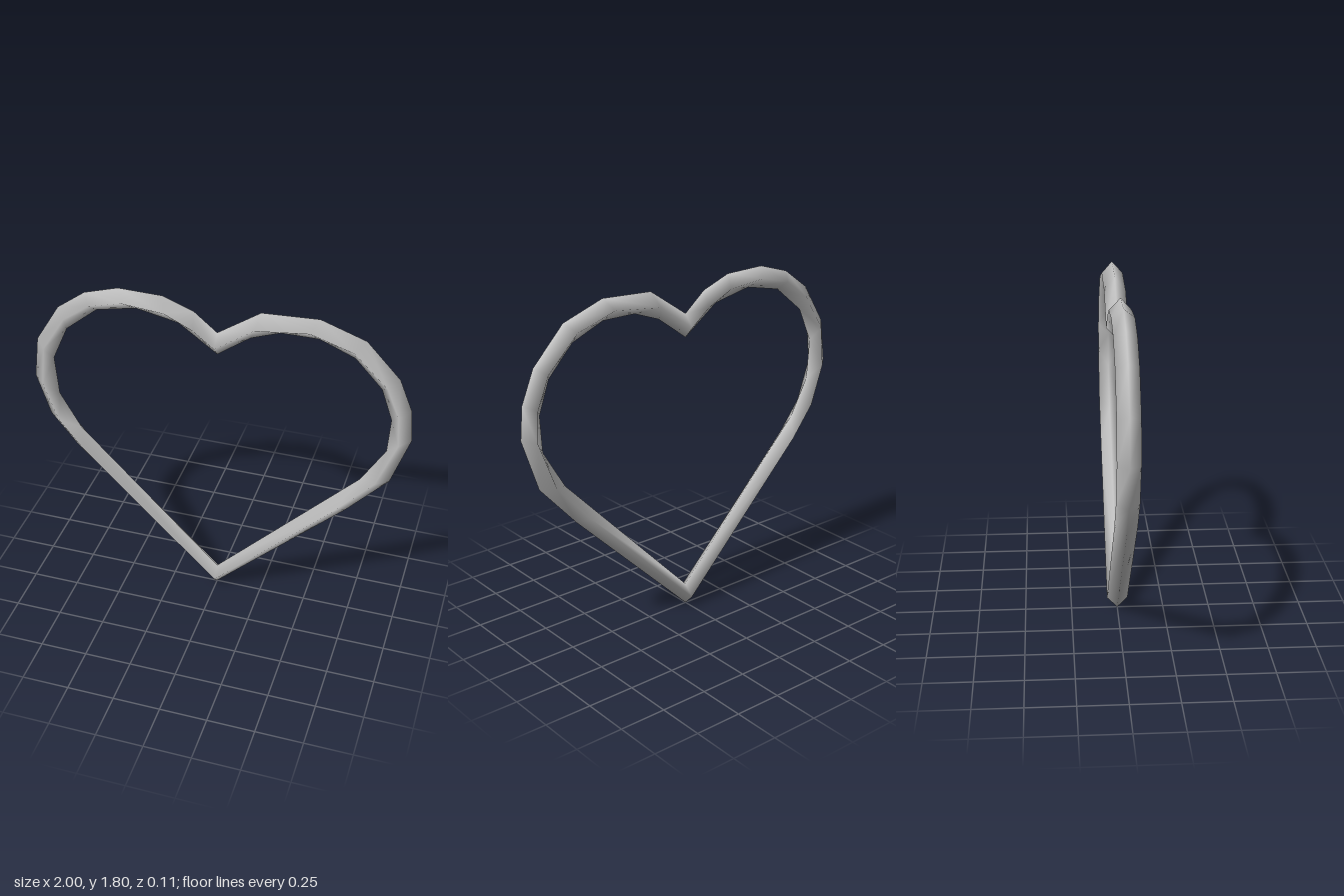
import * as THREE from 'three';

// Rim outlines in the z = 0 plane, counter-clockwise from the bottom tip
const OUTER = [[0, 0], [0.7, 0.69], [0.91, 0.925], [1, 1.2], [0.985, 1.37], [0.915, 1.54], [0.74, 1.725],
  [0.51, 1.805], [0.22, 1.79], [0, 1.64], [-0.12, 1.74], [-0.28, 1.8], [-0.51, 1.805], [-0.69, 1.75],
  [-0.84, 1.64], [-0.97, 1.43], [-1, 1.2], [-0.93, 0.97], [-0.79, 0.79]];
const INNER = [[0, 0.115], [0.76, 0.905], [0.88, 1.11], [0.89, 1.3], [0.83, 1.47], [0.69, 1.62],
  [0.51, 1.695], [0.32, 1.695], [0.17, 1.64], [0, 1.515], [-0.2, 1.66], [-0.42, 1.705], [-0.63, 1.66],
  [-0.8, 1.52], [-0.885, 1.33], [-0.87, 1.11], [-0.76, 0.91]];
const HALF_DEPTH = 0.056;
const CENTRE_Y = 1;

// Angle around the heart's middle, 0 at the bottom tip
const angleOf = ([x, y]) => {
  const a = Math.atan2(x, CENTRE_Y - y);
  return a < -1e-6 ? a + Math.PI * 2 : Math.max(a, 0);
};

// Point where the ray at a given angle meets an outline
function rayHit(loop, angle) {
  const dx = Math.sin(angle), dy = -Math.cos(angle);
  const side = ([x, y]) => dx * (y - CENTRE_Y) - dy * x;
  for (let i = 0; i < loop.length; i++) {
    const p = loop[i], q = loop[(i + 1) % loop.length];
    const a = angleOf(p), b = i === loop.length - 1 ? Math.PI * 2 : angleOf(q);
    if (angle < a - 1e-6 || angle > b + 1e-6) continue;
    const t = side(p) / (side(p) - side(q));
    return [p[0] + (q[0] - p[0]) * t, p[1] + (q[1] - p[1]) * t];
  }
  return loop[0];
}

function heartGeometry() {
  // Front and back ridges run midway between the rims
  const ridge = OUTER.map((p) => {
    const q = rayHit(INNER, angleOf(p));
    return [(p[0] + q[0]) / 2, (p[1] + q[1]) / 2];
  });
  const positions = [];
  const loops = [[OUTER, 0], [ridge, HALF_DEPTH], [INNER, 0], [ridge, -HALF_DEPTH]].map(([pts, z]) => {
    const start = positions.length / 3;
    pts.forEach(([x, y]) => positions.push(x, y, z));
    return { start, n: pts.length, angles: [...pts.map(angleOf), Math.PI * 2] };
  });

  // Zip each pair of neighbouring loops together
  const index = [];
  loops.forEach((A, k) => {
    const B = loops[(k + 1) % 4];
    const a = (i) => A.start + (i % A.n), b = (j) => B.start + (j % B.n);
    let i = 0, j = 0;
    while (i < A.n || j < B.n) {
      if (j >= B.n || (i < A.n && A.angles[i + 1] <= B.angles[j + 1])) {
        index.push(a(i), a(i + 1), b(j));
        i++;
      } else {
        index.push(a(i), b(j + 1), b(j));
        j++;
      }
    }
  });

  const geometry = new THREE.BufferGeometry();
  geometry.setAttribute('position', new THREE.Float32BufferAttribute(positions, 3));
  geometry.setIndex(index);
  geometry.computeVertexNormals();
  return geometry;
}

export function createModel() {
  const group = new THREE.Group();
  group.name = 'heart';
  const silver = new THREE.MeshStandardMaterial({ color: 0xc4c4c4 });
  silver.name = 'silver grey';

  // Diamond-section ring bent into a heart
  const ring = new THREE.Mesh(heartGeometry(), silver);
  ring.name = 'heartRing';
  group.add(ring);
  return group;
}
